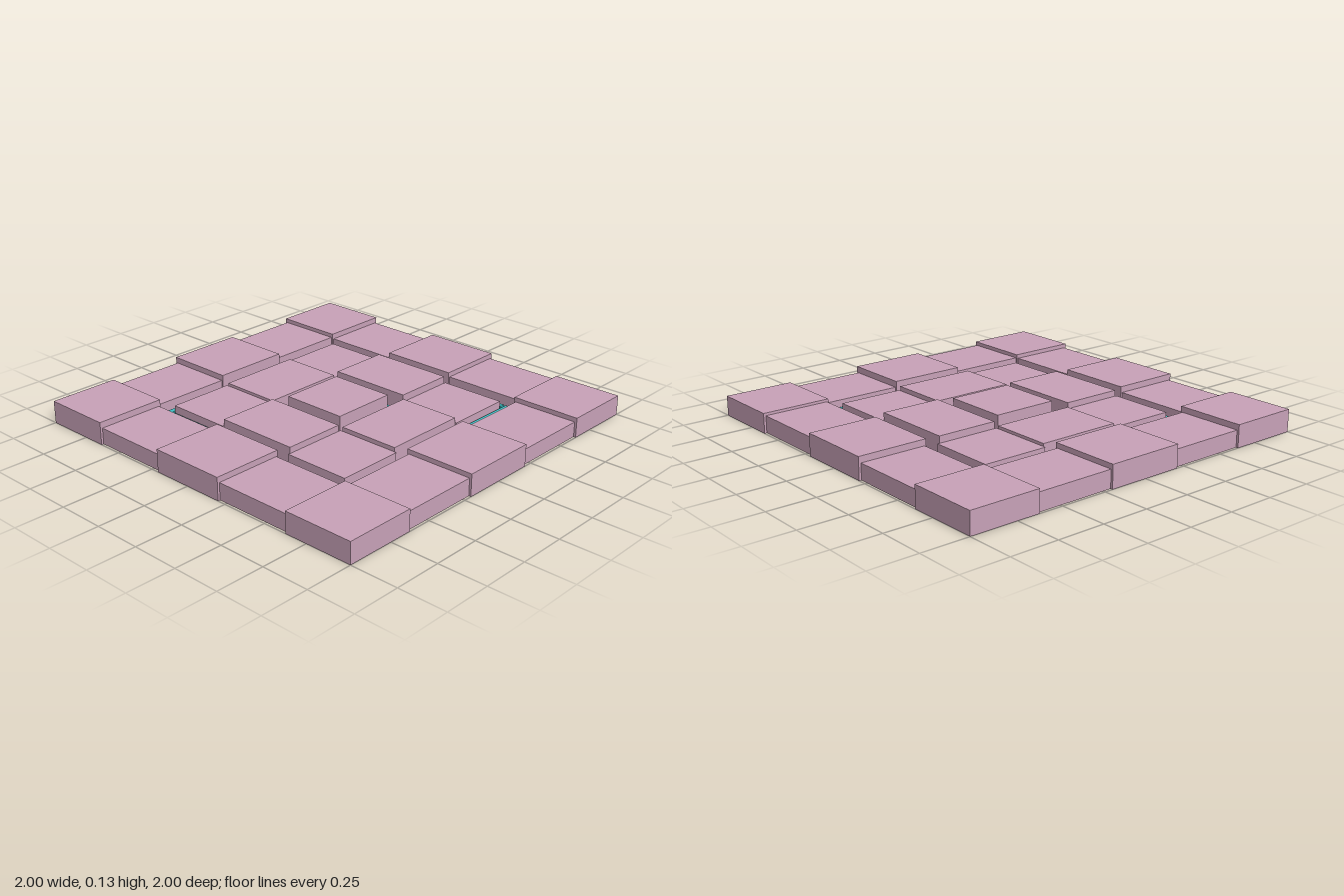
import * as THREE from 'three';

export function createModel() {
  const model = new THREE.Group();
  const stone = new THREE.MeshStandardMaterial({ color: 0xc8a2b8 });
  stone.name = 'mauve stone';
  const glow = new THREE.MeshStandardMaterial({ color: 0x40c0c4 });
  glow.name = 'teal inlay';

  // Box given by its extents in x and z, standing on the ground
  function slab(parent, name, material, [x0, x1], [z0, z1], height) {
    const mesh = new THREE.Mesh(new THREE.BoxGeometry(x1 - x0, height, z1 - z0), material);
    mesh.position.set((x0 + x1) / 2, height / 2, (z0 + z1) / 2);
    mesh.name = name;
    parent.add(mesh);
  }
  const group = (name) => {
    const g = new THREE.Group();
    g.name = name;
    model.add(g);
    return g;
  };

  // Lay a square ring of tiles; heights are rows from back to front.
  // wide: column extents, narrow: outermost columns for the tiles set back between the tall ones
  function tileRing(name, wide, narrow, heights) {
    const ring = group(name);
    const last = wide.length - 1;
    heights.forEach((row, j) => row.forEach((height, i) => {
      if (!height) return;
      const onSide = i === 0 || i === last, onEnd = j === 0 || j === last;
      const setBackX = onSide && !onEnd && (last === 2 || j % 2 === 1);
      const setBackZ = onEnd && !onSide && (last === 2 || i % 2 === 1);
      const x = setBackX ? narrow[i ? 1 : 0] : wide[i];
      const z = setBackZ ? narrow[j ? 1 : 0] : wide[j];
      slab(ring, 'tile', stone, x, z, height);
    }));
  }

  // Outer ring of sixteen tiles
  tileRing('outerTiles',
    [[-1, -0.628], [-0.628, -0.206], [-0.206, 0.206], [0.206, 0.628], [0.628, 1]],
    [[-0.988, -0.637], [0.637, 0.988]],
    [
      [0.118, 0.088, 0.118, 0.092, 0.113],
      [0.085, 0, 0, 0, 0.083],
      [0.118, 0, 0, 0, 0.116],
      [0.088, 0, 0, 0, 0.09],
      [0.11, 0.09, 0.114, 0.08, 0.104],
    ]);

  // Inner ring of eight tiles
  tileRing('innerTiles',
    [[-0.577, -0.225], [-0.225, 0.225], [0.225, 0.577]],
    [[-0.566, -0.238], [0.238, 0.566]],
    [
      [0.084, 0.099, 0.084],
      [0.116, 0, 0.12],
      [0.084, 0.106, 0.082],
    ]);

  // Centre tile
  slab(model, 'centreTile', stone, [-0.176, 0.176], [-0.176, 0.176], 0.126);

  // Two square frames of inlay strips sunk between the tiles
  function inlayFrame(name, outer, inner, sideEnd) {
    const frame = group(name);
    for (const s of [-1, 1]) {
      const band = s < 0 ? [-outer, -inner] : [inner, outer];
      slab(frame, 'crossStrip', glow, [-outer, outer], band, 0.05);
      slab(frame, 'sideStrip', glow, band, [-sideEnd, sideEnd], 0.05);
    }
  }
  inlayFrame('outerInlay', 0.614, 0.586, 0.576);
  inlayFrame('innerInlay', 0.214, 0.186, 0.176);

  return model;
}
